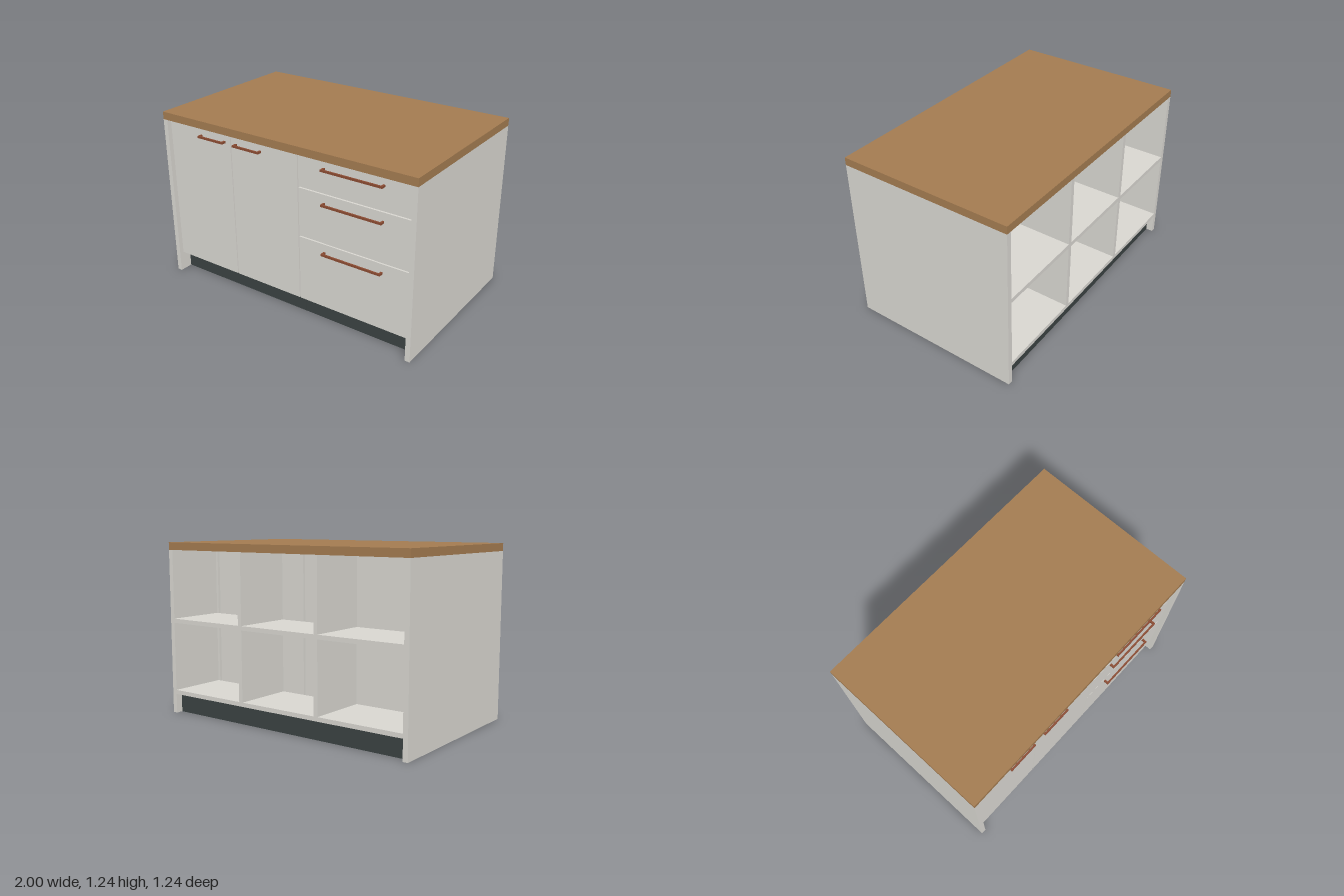
import * as THREE from 'three';

const mats = {
  cabinet: new THREE.MeshStandardMaterial({ color: 0xd8d6d0 }),
  wood: new THREE.MeshStandardMaterial({ color: 0xa37b50 }),
  plinth: new THREE.MeshStandardMaterial({ color: 0x3a4242 }),
  handle: new THREE.MeshStandardMaterial({ color: 0x8a4b32 }),
};
for (const [name, m] of Object.entries(mats)) m.name = name;

// Box given by its limits on each axis
function box(parent, name, mat, [x0, x1], [y0, y1], [z0, z1]) {
  const mesh = new THREE.Mesh(new THREE.BoxGeometry(x1 - x0, y1 - y0, z1 - z0), mats[mat]);
  mesh.position.set((x0 + x1) / 2, (y0 + y1) / 2, (z0 + z1) / 2);
  mesh.name = name;
  parent.add(mesh);
}

function group(parent, name) {
  const g = new THREE.Group();
  g.name = name;
  parent.add(g);
  return g;
}

const TOP = 1.188, FLOOR = 0.14, IN = 0.965, BACK = -0.62, FRONT = 0.614;
const MID = -0.19;       // where shelving meets the front cabinets
const DOOR = [0.565, 0.585];
const SPLIT = 0.135;     // joint between the two front cabinets

// Hollow cabinet, open to the front, its back set in slightly
function cabinet(parent, name, x0, x1) {
  const g = group(parent, name), t = 0.018, z = [MID, 0.562];
  box(g, 'cabinetSide', 'cabinet', [x0, x0 + t], [FLOOR, TOP], z);
  box(g, 'cabinetSide', 'cabinet', [x1 - t, x1], [FLOOR, TOP], z);
  box(g, 'cabinetBottom', 'cabinet', [x0 + t, x1 - t], [FLOOR, FLOOR + t], z);
  box(g, 'cabinetTop', 'cabinet', [x0 + t, x1 - t], [TOP - t, TOP], z);
  box(g, 'cabinetBack', 'cabinet', [x0 + t, x1 - t], [FLOOR + t, TOP - t], [MID + 0.02, MID + 0.03]);
}

// Bar handle on two short posts
function handle(parent, x0, x1, y) {
  const g = group(parent, 'handle'), h = [y - 0.007, y + 0.007];
  box(g, 'handleBar', 'handle', [x0, x1], h, [0.608, 0.62]);
  for (const x of [x0, x1 - 0.014])
    box(g, 'handlePost', 'handle', [x, x + 0.014], h, [DOOR[1], 0.608]);
}

export function createModel() {
  const model = new THREE.Group();
  model.name = 'kitchenIsland';

  // Worktop and end panels
  box(model, 'worktop', 'wood', [-1, 1], [TOP, 1.242], [BACK, FRONT]);
  box(model, 'rightEndPanel', 'cabinet', [-1, -IN], [0, TOP], [BACK, FRONT]);
  box(model, 'leftEndPanel', 'cabinet', [IN, 1], [0, TOP], [BACK, FRONT]);

  // Front cabinets
  cabinet(model, 'doorCabinet', -IN, SPLIT);
  cabinet(model, 'drawerCabinet', SPLIT, IN);

  // Doors
  for (const [x0, x1, h0, h1] of [[-0.96, -0.419, -0.68, -0.46], [-0.411, 0.131, -0.375, -0.155]]) {
    box(model, 'door', 'cabinet', [x0, x1], [0.144, 1.184], DOOR);
    handle(model, h0, h1, 1.127);
  }

  // Drawer fronts
  for (const [y0, y1, h] of [[0.144, 0.608, 0.547], [0.616, 0.955, 0.893], [0.963, 1.184, 1.127]]) {
    box(model, 'drawerFront', 'cabinet', [0.139, 0.96], [y0, y1], DOOR);
    handle(model, 0.33, 0.77, h);
  }

  // Open shelving at the back, three bays by two
  const shelving = group(model, 'backShelving'), z = [BACK, MID];
  box(shelving, 'bottomShelf', 'cabinet', [-IN, IN], [FLOOR, 0.17], z);
  for (const s of [-1, 1])
    box(shelving, 'divider', 'cabinet', [s * 0.322 - 0.015, s * 0.322 + 0.015], [0.17, TOP], z);
  for (const x of [[-IN, -0.337], [-0.307, 0.307], [0.337, IN]])
    box(shelving, 'middleShelf', 'cabinet', x, [0.665, 0.695], z);

  // Plinths
  box(model, 'frontPlinth', 'plinth', [-IN, SPLIT - 0.002], [0, 0.138], [0.495, 0.515]);
  box(model, 'frontPlinth', 'plinth', [SPLIT + 0.002, IN], [0, 0.138], [0.495, 0.515]);
  box(model, 'backPlinth', 'plinth', [-IN, IN], [0, 0.138], [-0.57, MID]);

  return model;
}
